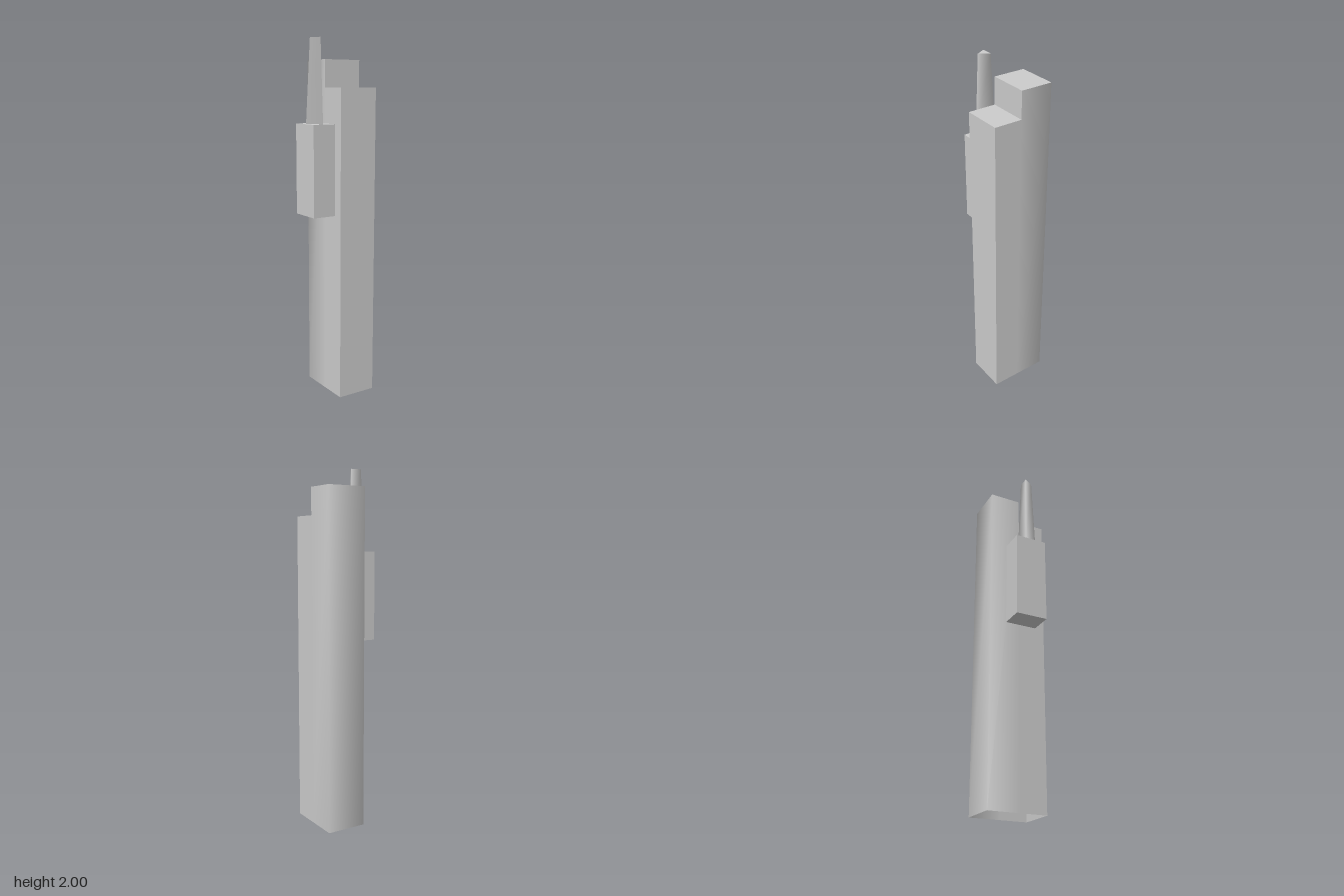
import * as THREE from 'three';

const material = new THREE.MeshStandardMaterial({ color: 0xcccccc, side: THREE.DoubleSide });

// Upright wall through [x, z] points, counterclockwise from above; normals blend along it
function wall(name, points, y0, y1) {
  const positions = [], index = [];
  points.forEach(([x, z], i) => {
    positions.push(x, y0, z, x, y1, z);
    if (i > 0) {
      const a = 2 * (i - 1);
      index.push(a, a + 2, a + 3, a, a + 3, a + 1);
    }
  });
  const g = new THREE.BufferGeometry();
  g.setAttribute('position', new THREE.Float32BufferAttribute(positions, 3));
  g.setIndex(index);
  g.computeVertexNormals();
  return part(name, g);
}

// Flat roof over a rectangle
function roof(name, x0, x1, z0, z1, y) {
  const g = new THREE.PlaneGeometry(x1 - x0, z1 - z0).rotateX(-Math.PI / 2);
  return part(name, g.translate((x0 + x1) / 2, y, (z0 + z1) / 2));
}

function part(name, geometry) {
  const mesh = new THREE.Mesh(geometry, material);
  mesh.name = name;
  return mesh;
}

export function createModel() {
  const model = new THREE.Group();
  model.name = 'tower';
  const L = -0.047, R = 0.18, back = -0.17, mid = 0.01, front = 0.168;
  const lowTop = 1.74, highTop = 1.89;

  // Main tower: hollow, open at the bottom, with a taller rear half
  const shaft = new THREE.Group();
  shaft.name = 'mainTower';
  shaft.add(
    wall('frontWall', [[L, front], [R, front]], 0, lowTop),
    wall('rightFrontWall', [[L, mid], [L, front]], 0, lowTop),
    wall('leftFrontWall', [[R, front], [R, mid]], 0, lowTop),
    wall('rearWalls', [[R, mid], [R, back], [L, back], [L, mid]], 0, highTop),
    wall('stepWall', [[L, mid], [R, mid]], lowTop, highTop),
    roof('frontRoof', L, R, mid, front, lowTop),
    roof('rearRoof', L, R, back, mid, highTop)
  );

  // Block hung on the side of the tower
  const block = part('sideBlock', new THREE.BoxGeometry(0.135, 0.5, 0.184));
  block.position.set(-0.1145, 1.297, 0.021);

  // Tapered three-sided spire with softened edges
  const spire = part('spire', new THREE.CylinderGeometry(0.037, 0.06, 0.453, 3));
  spire.position.set(-0.109, 1.7735, 0.03);

  model.add(shaft, block, spire);
  return model;
}
